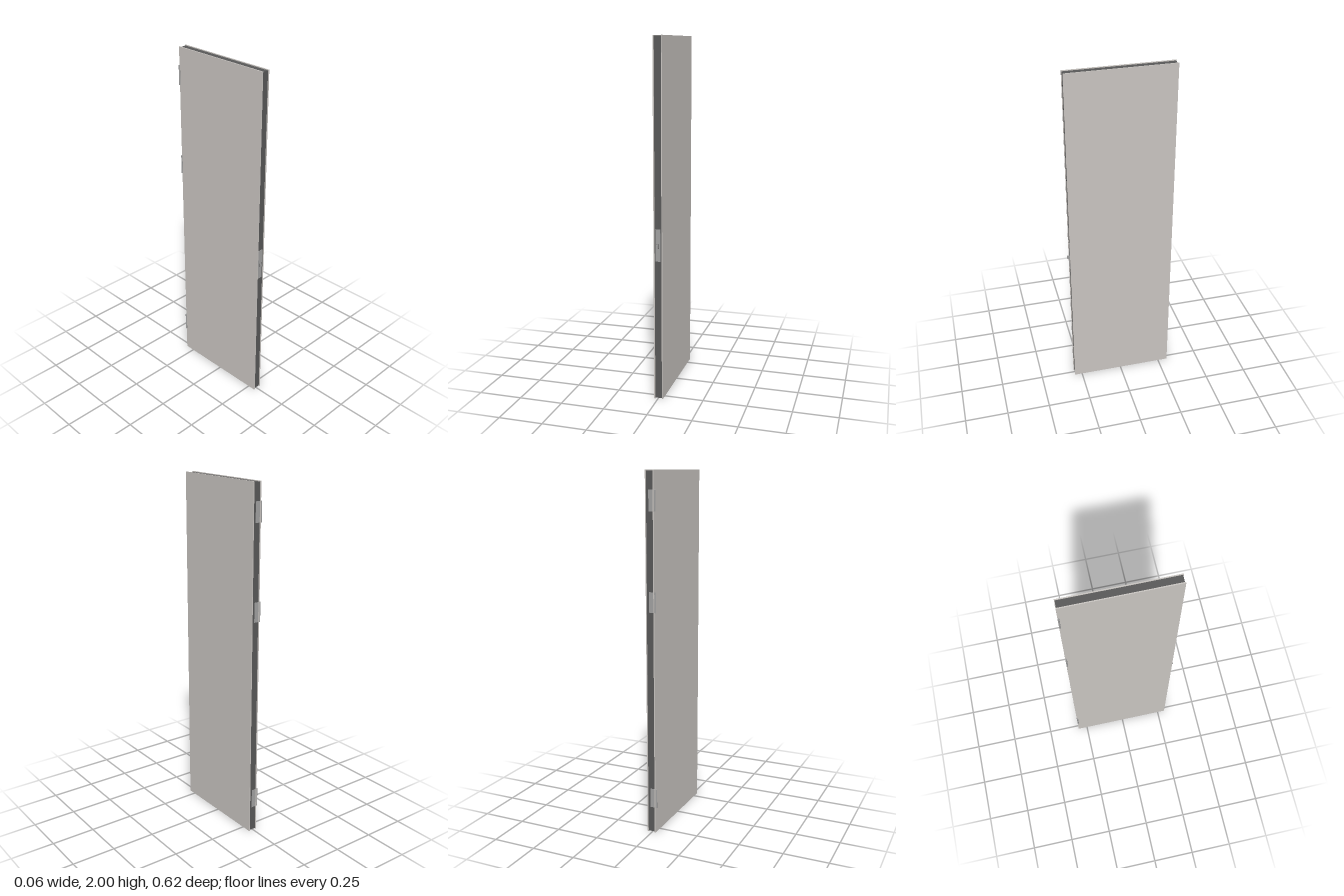
import * as THREE from 'three';

const skinMat = new THREE.MeshStandardMaterial({ color: 0xc8c4c0 });
const coreMat = new THREE.MeshStandardMaterial({ color: 0x585858 });
const metalMat = new THREE.MeshStandardMaterial({ color: 0xa0a0a0 });

// Box given by its lower and upper limits on each axis
function slab(name, [x0, x1], [y0, y1], [z0, z1], material) {
  const mesh = new THREE.Mesh(new THREE.BoxGeometry(x1 - x0, y1 - y0, z1 - z0), material);
  mesh.name = name;
  mesh.position.set((x0 + x1) / 2, (y0 + y1) / 2, (z0 + z1) / 2);
  return mesh;
}

// Knuckle pin with a leaf let into the rear edge of the door
function hinge(y) {
  const group = new THREE.Group();
  group.name = 'hinge';
  const knuckle = new THREE.Mesh(new THREE.CylinderGeometry(0.004, 0.004, 0.11, 16), metalMat);
  knuckle.name = 'hingeKnuckle';
  knuckle.position.set(-0.0265, y, -0.304);
  group.add(knuckle, slab('hingeLeaf', [-0.0265, 0.01], [y - 0.055, y + 0.055], [-0.3058, -0.304], metalMat));
  return group;
}

export function createModel() {
  const door = new THREE.Group();
  door.name = 'door';

  // Two face sheets standing slightly proud of the core
  door.add(slab('rightSkin', [-0.022, -0.016], [0, 2], [-0.308, 0.296], skinMat));
  door.add(slab('leftSkin', [0.023, 0.028], [0, 2], [-0.308, 0.296], skinMat));
  door.add(slab('core', [-0.016, 0.023], [0.004, 1.996], [-0.305, 0.292], coreMat));

  // Hinges along the rear edge
  for (const y of [0.205, 1.315, 1.845]) door.add(hinge(y));

  // Lock plate with its dark latch opening
  door.add(slab('lockPlate', [-0.012, 0.016], [0.8, 0.98], [0.291, 0.2935], metalMat));
  door.add(slab('latchOpening', [-0.005, 0.009], [0.873, 0.897], [0.292, 0.2938], coreMat));

  // Wedge-shaped latch bolt
  const wedge = new THREE.Shape([
    new THREE.Vector2(-0.002, -0.291),
    new THREE.Vector2(0.007, -0.291),
    new THREE.Vector2(0.007, -0.296),
    new THREE.Vector2(0.001, -0.308),
    new THREE.Vector2(-0.002, -0.308),
  ]);
  const latch = new THREE.Mesh(
    new THREE.ExtrudeGeometry(wedge, { depth: 0.02, bevelEnabled: false }), metalMat);
  latch.name = 'latchBolt';
  latch.rotation.x = -Math.PI / 2;
  latch.position.y = 0.875;
  door.add(latch);

  return door;
}
